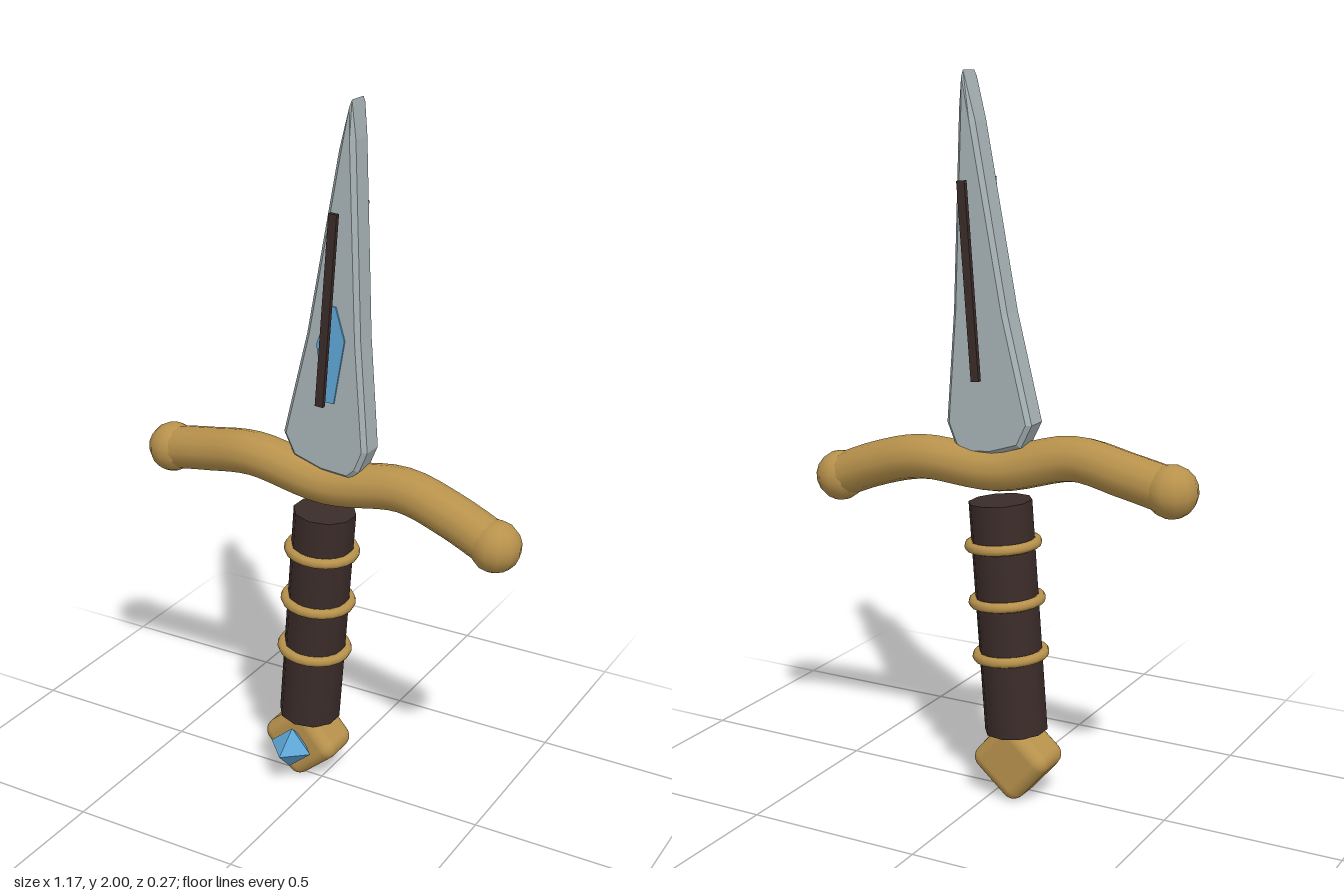
import * as THREE from 'three';
import { RoundedBoxGeometry } from 'three/addons/geometries/RoundedBoxGeometry.js';

const MID = -0.03; // depth of the dagger's middle plane
const TILT = -0.077; // lean of the whole weapon

const gold = new THREE.MeshStandardMaterial({ color: 0xb8924c });
const leather = new THREE.MeshStandardMaterial({ color: 0x3b2c29 });
const steel = new THREE.MeshStandardMaterial({ color: 0xa9b5b8, flatShading: true });
const crystal = new THREE.MeshStandardMaterial({ color: 0x5fa8d8, flatShading: true });

export function createModel() {
  const model = new THREE.Group();
  model.name = 'dagger';

  const add = (name, geometry, material, [x, y, z], roll = 0, parent = model) => {
    const mesh = new THREE.Mesh(geometry, material);
    mesh.name = name;
    mesh.position.set(x, y, z);
    mesh.rotation.z = roll;
    parent.add(mesh);
    return mesh;
  };
  const shape = (points) => new THREE.Shape(points.map(([x, y]) => new THREE.Vector2(x, y)));

  // Blade: extruded outline with a narrow bevel inside it
  const bevel = 0.012;
  const depth = 0.084;
  const bladeGeo = new THREE.ExtrudeGeometry(shape([
    [0.087, 0.975], [0.115, 1.0], [0.14, 1.06], [0.117, 1.37], [0.098, 1.9], [0.086, 2.0],
    [0.05, 1.87], [-0.045, 1.37], [-0.119, 1.075], [-0.087, 1.01], [0.0, 0.982],
  ]), {
    depth: depth - 2 * bevel, bevelThickness: bevel, bevelSize: bevel, bevelOffset: -bevel, bevelSegments: 1,
  });
  add('blade', bladeGeo, steel, [0, 0, MID - depth / 2 + bevel]);

  // Crystal inlay, barely proud of the blade's front
  const inlayGeo = new THREE.ExtrudeGeometry(shape([
    [0.018, 1.19], [0.045, 1.19], [0.077, 1.37], [0.05, 1.46], [0.035, 1.46], [-0.008, 1.35],
  ]), { depth: 0.02, bevelEnabled: false });
  add('bladeCrystal', inlayGeo, crystal, [0, 0, -0.003]);

  // Dark strips floating before and behind the blade
  for (const side of [1, -1]) {
    add(side > 0 ? 'frontStrip' : 'backStrip', new THREE.BoxGeometry(0.024, 0.53, 0.013), leather,
      [0.043, 1.455, MID + side * 0.081], TILT);
  }

  // Crossguard: a tube waving in height and depth, with a ball on each end
  const path = [
    [-0.515, 0.937, -0.035], [-0.38, 0.962, -0.022], [-0.22, 0.985, -0.008], [0.0, 0.937, -0.03],
    [0.22, 0.952, -0.054], [0.37, 0.915, -0.044], [0.51, 0.86, -0.032],
  ].map((p) => new THREE.Vector3(...p));
  const guardGeo = new THREE.TubeGeometry(new THREE.CatmullRomCurve3(path), 28, 0.063, 12);
  add('crossguard', guardGeo, gold, [0, 0, 0]);
  for (const [name, end] of [['rightGuardBall', path[0]], ['leftGuardBall', path[6]]]) {
    add(name, new THREE.SphereGeometry(0.072, 12, 9), gold, end.toArray(), TILT);
  }

  // Grip with three wire rings
  const grip = new THREE.Group();
  grip.name = 'grip';
  grip.position.set(-0.033, 0.52, MID);
  grip.rotation.z = TILT;
  model.add(grip);
  add('gripCore', new THREE.CylinderGeometry(0.089, 0.089, 0.66, 10), leather, [0, 0, 0], 0, grip);
  for (const y of [-0.106, 0.05, 0.21]) {
    const ring = add('gripRing', new THREE.TorusGeometry(0.093, 0.015, 8, 20), gold, [0, y, 0], 0, grip);
    ring.rotation.x = Math.PI / 2;
  }

  // Pommel: soft block standing on its corner, with a crystal set in front
  add('pommel', new RoundedBoxGeometry(0.182, 0.182, 0.142, 3, 0.035), gold,
    [-0.064, 0.114, MID], Math.PI / 4 + TILT);
  add('pommelCrystal', new THREE.OctahedronGeometry(0.065), crystal, [-0.063, 0.119, 0.072], TILT);

  return model;
}
